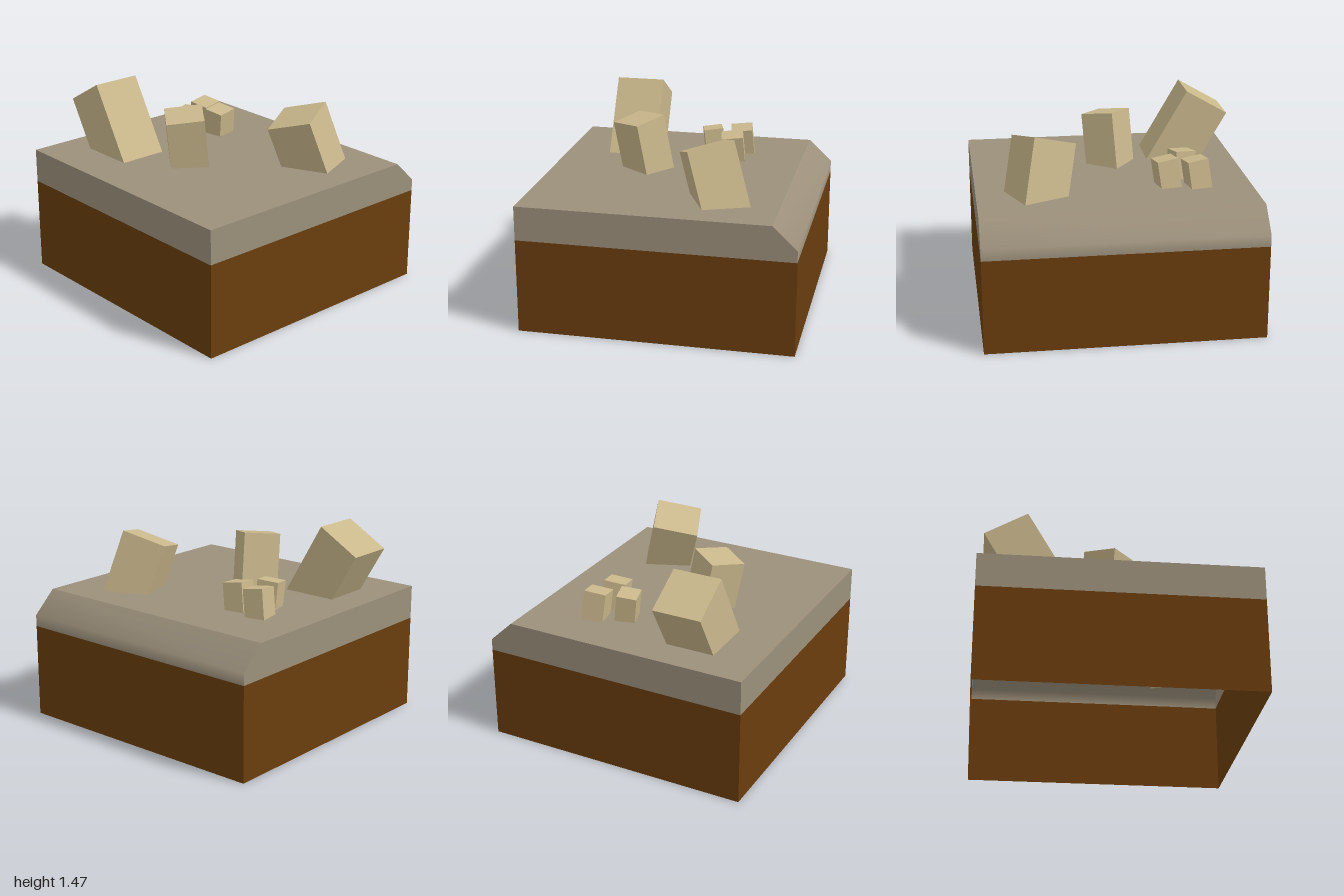
import * as THREE from 'three';

const soil = new THREE.MeshStandardMaterial({ color: 0x6a3d0d, side: THREE.DoubleSide });
soil.name = 'brown soil';
const ground = new THREE.MeshStandardMaterial({ color: 0x9c907b, side: THREE.DoubleSide });
ground.name = 'grey ground';
const stone = new THREE.MeshStandardMaterial({ color: 0xcab88c });
stone.name = 'tan stone';

const X = 0.99, Z = 1;
const SEAM = 0.69, TOP = 0.94;      // soil/ground border and ground surface
const BEVEL_X = 0.815, BEVEL_Y = 0.775;

function addMesh(group, name, geometry, material) {
  const mesh = new THREE.Mesh(geometry, material);
  mesh.name = name;
  group.add(mesh);
  return mesh;
}

// Sheet swept along z through [x, y] points; neighbouring faces share normals
function sweptSheet(profile) {
  const pos = [], index = [];
  profile.forEach(([x, y], i) => {
    pos.push(x, y, Z, x, y, -Z);
    if (i > 0) {
      const a = 2 * i - 2;
      index.push(a, a + 1, a + 2, a + 1, a + 3, a + 2);
    }
  });
  const g = new THREE.BufferGeometry();
  g.setAttribute('position', new THREE.Float32BufferAttribute(pos, 3));
  g.setIndex(index);
  g.computeVertexNormals();
  return g;
}

// Flat end wall outlined in x and y, facing +z or -z
function addEndWalls(group, name, outline, material) {
  const shape = new THREE.Shape(outline.map(([x, y]) => new THREE.Vector2(x, y)));
  const front = addMesh(group, name + 'Front', new THREE.ShapeGeometry(shape), material);
  front.position.z = Z;
  const mirrored = new THREE.Shape(outline.map(([x, y]) => new THREE.Vector2(-x, y)));
  const back = addMesh(group, name + 'Back', new THREE.ShapeGeometry(mirrored), material);
  back.rotation.y = Math.PI;
  back.position.z = -Z;
}

// Square-topped boulder: three corners of the top face (back-left, front-left,
// back-right) fix its size and tilt; it runs down into the ground by its length
function addBoulder(group, name, a, d, b, length) {
  const A = new THREE.Vector3(...a);
  const ez = new THREE.Vector3(...d).sub(A);
  const ex = new THREE.Vector3(...b).sub(A);
  const depth = ez.length(), width = ex.length();
  const centre = A.clone().addScaledVector(ez, 0.5).addScaledVector(ex, 0.5);
  ex.normalize();
  const up = new THREE.Vector3().crossVectors(ez, ex).normalize();
  ez.crossVectors(ex, up);
  const mesh = addMesh(group, name, new THREE.BoxGeometry(width, length, depth), stone);
  mesh.quaternion.setFromRotationMatrix(new THREE.Matrix4().makeBasis(ex, up, ez));
  mesh.position.copy(centre).addScaledVector(up, -length / 2);
}

export function createModel() {
  const model = new THREE.Group();
  model.name = 'rockyGroundBlock';

  // Soil walls, open at the bottom
  const soilGroup = new THREE.Group();
  soilGroup.name = 'soil';
  addMesh(soilGroup, 'soilLeft', sweptSheet([[X, 0], [X, SEAM]]), soil);
  addMesh(soilGroup, 'soilRight', sweptSheet([[-X, SEAM], [-X, 0]]), soil);
  addEndWalls(soilGroup, 'soil', [[-X, 0], [X, 0], [X, SEAM], [-X, SEAM]], soil);

  // Ground layer with one bevelled edge, hollow underneath
  const groundGroup = new THREE.Group();
  groundGroup.name = 'ground';
  addMesh(groundGroup, 'groundBevel', sweptSheet([[X, SEAM], [X, BEVEL_Y], [BEVEL_X, TOP]]), ground);
  addMesh(groundGroup, 'groundTop', sweptSheet([[BEVEL_X, TOP], [-X, TOP]]), ground);
  addMesh(groundGroup, 'groundRight', sweptSheet([[-X, TOP], [-X, SEAM]]), ground);
  addEndWalls(groundGroup, 'ground',
    [[-X, SEAM], [X, SEAM], [X, BEVEL_Y], [BEVEL_X, TOP], [-X, TOP]], ground);

  // Large leaning boulders
  const rocks = new THREE.Group();
  rocks.name = 'boulders';
  addBoulder(rocks, 'backBoulder', [-0.665, 1.285, -0.955], [-0.665, 1.465, -0.645], [-0.305, 1.285, -0.955], 0.7);
  addBoulder(rocks, 'middleBoulder', [-0.385, 1.33, -0.212], [-0.535, 1.29, 0], [-0.165, 1.355, -0.05], 0.68);
  addBoulder(rocks, 'frontBoulder', [0.055, 1.23, 0.42], [0.18, 1.325, 0.72], [0.355, 1.295, 0.28], 0.68);

  // Cluster of small stones; two share the same lean
  for (const [i, [dx, dz]] of [[0, 0], [0.037, -0.215]].entries()) {
    addBoulder(rocks, 'smallStone' + (i + 1),
      [0.2 + dx, 1.14, -0.43 + dz], [0.23 + dx, 1.12, -0.28 + dz], [0.36 + dx, 1.155, -0.455 + dz], 0.34);
  }
  addBoulder(rocks, 'smallStone3', [0.02, 1.125, -0.585], [0.07, 1.137, -0.435], [0.16, 1.14, -0.625], 0.34);

  model.add(soilGroup, groundGroup, rocks);
  return model;
}
